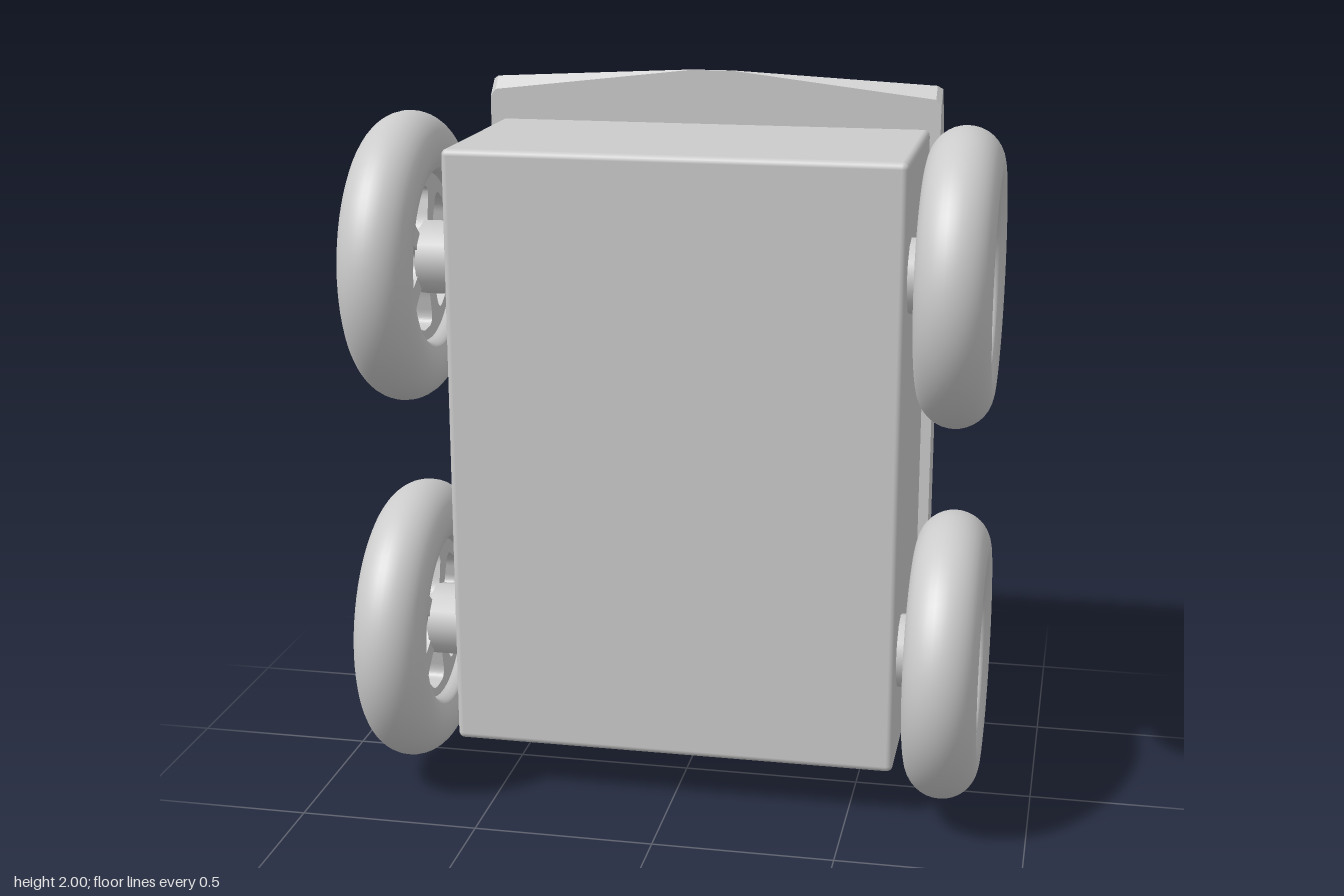
import * as THREE from 'three';
import { RoundedBoxGeometry } from 'three/addons/geometries/RoundedBoxGeometry.js';

const grey = new THREE.MeshStandardMaterial({ color: 0xcccccc });
const greyDouble = new THREE.MeshStandardMaterial({ color: 0xcccccc, side: THREE.DoubleSide });

function part(name, geometry, material = grey) {
  const mesh = new THREE.Mesh(geometry, material);
  mesh.name = name;
  return mesh;
}

// Closed path through polygon corners, each corner softened with a curve
function roundedPath(corners, amount) {
  const path = new THREE.Path();
  const n = corners.length;
  corners.forEach((c, i) => {
    const start = c.clone().lerp(corners[(i + n - 1) % n], amount);
    const end = c.clone().lerp(corners[(i + 1) % n], amount);
    if (i === 0) path.moveTo(start.x, start.y);
    else path.lineTo(start.x, start.y);
    path.quadraticCurveTo(c.x, c.y, end.x, end.y);
  });
  path.closePath();
  return path;
}

// Deck rim: side-on cross-sections swept along x, open where the panel sits
function deckGeometry() {
  const half = [[0.655, 1.955, 0.035, 0.015], [0.64, 1.965, 0.023, 0], [0.4, 1.979, 0.001, 0], [0.06, 1.999, 0.001, 0]];
  const rows = [...half.map(([x, ...r]) => [-x, ...r]), ...half.slice().reverse()];
  const sections = rows.map(([x, top, low, inset]) => [
    [-0.5 + inset, 0.13 + inset / 2],
    [-0.39 - low, low],
    [-0.37, 0.02 + 2 * low],
    [-0.37, 2 * top - 2],
    [top - 2.37, top],
    [-0.5 + inset, 1.865 - inset / 2],
  ].map(([z, y]) => new THREE.Vector3(x, y, z)));
  const points = [];
  const n = 6;
  const last = sections.length - 1;
  for (let i = 0; i < last; i++) {
    for (let j = 0; j < n; j++) {
      if (j === n - 1 && i > 0 && i < last - 1) continue;
      const k = (j + 1) % n;
      const [a, b, c, d] = [sections[i][j], sections[i][k], sections[i + 1][k], sections[i + 1][j]];
      points.push(a, d, c, a, c, b);
    }
  }
  for (let k = 1; k < n - 1; k++) {
    points.push(sections[0][0], sections[0][k], sections[0][k + 1]);
    points.push(sections[last][0], sections[last][k + 1], sections[last][k]);
  }
  const geometry = new THREE.BufferGeometry().setFromPoints(points);
  geometry.computeVertexNormals();
  return geometry;
}

// Flat back panel with two columns of screw holes
function panelGeometry() {
  const shape = new THREE.Shape();
  shape.moveTo(-0.64, 0.13).lineTo(0.64, 0.13).lineTo(0.64, 1.865).lineTo(-0.64, 1.865).closePath();
  for (const x of [-0.24, 0.24]) {
    for (let i = 0; i < 4; i++) {
      shape.holes.push(new THREE.Path().absarc(x, 0.27 + i * 0.48, 0.01, 0, Math.PI * 2, true));
    }
  }
  const geometry = new THREE.ExtrudeGeometry(shape, { depth: 0.06, bevelEnabled: false, curveSegments: 8 });
  return geometry.translate(0, 0, -0.5);
}

// Round tyre with a bead stepping in to the rim
function tyreGeometry() {
  const profile = [];
  const start = Math.atan2(-0.085, -0.053);
  for (let i = 0; i <= 24; i++) {
    const a = start - (2 * start * i) / 24;
    profile.push(new THREE.Vector2(0.3 + 0.1 * Math.cos(a), 0.1 * Math.sin(a)));
  }
  return new THREE.LatheGeometry(profile, 64).rotateZ(Math.PI / 2);
}

// Ring joining the tyre bead to the wheel disc
function rimGeometry(side) {
  const profile = [[0.25, 0.085], [0.24, 0.078], [0.234, 0.06], [0.23, 0.045]];
  const points = profile.map(([r, x]) => new THREE.Vector2(r, x * side));
  return new THREE.LatheGeometry(side > 0 ? points : points.reverse(), 64).rotateZ(Math.PI / 2);
}

// Wheel disc with five rounded windows
function discGeometry() {
  const shape = new THREE.Shape();
  shape.absarc(0, 0, 0.24, 0, Math.PI * 2, false);
  const polar = [[0.196, -0.46], [0.212, 0], [0.196, 0.46], [0.08, 0.35], [0.08, -0.35]];
  for (let i = 0; i < 5; i++) {
    const turn = Math.PI + (i * Math.PI * 2) / 5;
    const corners = polar.map(([r, a]) => new THREE.Vector2(r * Math.cos(turn + a), r * Math.sin(turn + a)));
    shape.holes.push(roundedPath(corners, 0.35));
  }
  const geometry = new THREE.ExtrudeGeometry(shape, { depth: 0.1, bevelEnabled: false, curveSegments: 32 });
  return geometry.translate(0, 0, -0.05).rotateY(Math.PI / 2);
}

export function createModel() {
  const model = new THREE.Group();
  model.name = 'rover';

  // Main body
  const body = part('body', new RoundedBoxGeometry(1.25, 1.7, 0.675, 3, 0.018));
  body.position.set(0, 0.995, -0.1025);
  model.add(body);

  // Deck
  const deck = new THREE.Group();
  deck.name = 'deck';
  deck.add(part('deckRim', deckGeometry()), part('deckPanel', panelGeometry()));
  model.add(deck);

  // Wheels and axles
  const tyre = tyreGeometry();
  const rims = [rimGeometry(-1), rimGeometry(1)];
  const disc = discGeometry();
  const axle = new THREE.CylinderGeometry(0.103, 0.103, 0.16, 12).rotateZ(Math.PI / 2);
  for (const side of [-1, 1]) {
    for (const [end, y] of [['upper', 1.525], ['lower', 0.462]]) {
      const wheel = new THREE.Group();
      wheel.name = `${end}${side > 0 ? 'Left' : 'Right'}Wheel`;
      wheel.add(part('tyre', tyre, greyDouble), part('disc', disc));
      rims.forEach((rim) => wheel.add(part('rim', rim, greyDouble)));
      const shaft = part('axle', axle);
      shaft.position.x = -side * 0.125;
      wheel.add(shaft);
      wheel.position.set(side * 0.76, y, 0.103);
      model.add(wheel);
    }
  }
  return model;
}
